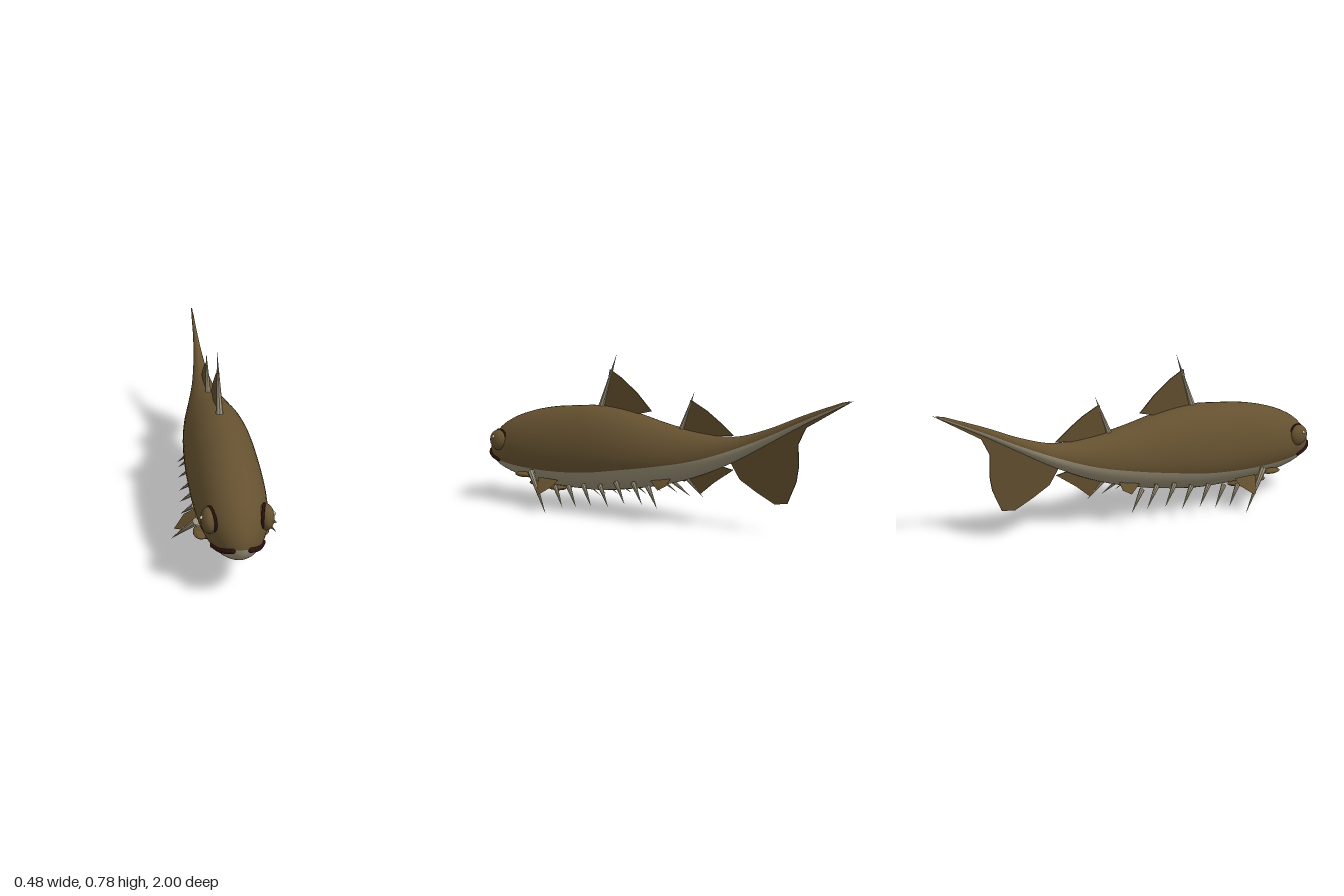
import * as THREE from 'three';

const mat = (name, color, extra = {}) => {
  const m = new THREE.MeshStandardMaterial({ color, ...extra });
  m.name = name;
  return m;
};

// Body stations: z, top y, bottom y, half width, height of the belly colour line
const STATIONS = [
  [1.0, 0.275, 0.245, 0.015, 0.262],
  [0.985, 0.315, 0.212, 0.045, 0.245],
  [0.96, 0.35, 0.19, 0.071, 0.233],
  [0.92, 0.39, 0.168, 0.098, 0.222],
  [0.86, 0.428, 0.147, 0.122, 0.213],
  [0.76, 0.468, 0.125, 0.143, 0.203],
  [0.6, 0.505, 0.104, 0.156, 0.197],
  [0.45, 0.521, 0.1, 0.16, 0.2],
  [0.29, 0.53, 0.104, 0.16, 0.213],
  [0.115, 0.51, 0.128, 0.152, 0.241],
  [-0.07, 0.467, 0.167, 0.131, 0.272],
  [-0.26, 0.435, 0.228, 0.094, 0.31],
  [-0.45, 0.43, 0.316, 0.054, 0.372],
  [-0.61, 0.477, 0.408, 0.029, 0.441],
  [-0.77, 0.546, 0.502, 0.014, 0.52],
  [-0.99, 0.63, 0.618, 0.004, 0.624],
];
const spline = new THREE.CubicInterpolant(STATIONS.map(s => -s[0]), STATIONS.flatMap(s => s.slice(1)), 4);

function section(z) {
  const [top, bottom, width, line] = spline.evaluate(-z);
  return { top, bottom, width, line, mid: bottom + 0.45 * (top - bottom) };
}

// Half width of the body at a given height and station
function surfaceX(y, z) {
  const s = section(z);
  const r = y > s.mid ? s.top - s.mid : s.mid - s.bottom;
  return s.width * Math.sqrt(Math.max(0, 1 - ((y - s.mid) / r) ** 2));
}

// Lofted body, split into back and belly groups along the colour line
function bodyGeometry() {
  const rings = 72, back = 32, belly = 16, n = back + belly;
  const pos = [], backIdx = [], bellyIdx = [];
  for (let i = 0; i <= rings; i++) {
    const z = 1 - 1.99 * (i / rings) ** 1.5;
    const s = section(z);
    const k = i === 0 || i === rings ? 0.01 : 1;
    const t = Math.asin(THREE.MathUtils.clamp((s.mid - s.line) / (s.mid - s.bottom), -0.9, 0.95));
    for (let j = 0; j < n; j++) {
      const a = j < back
        ? -t + (Math.PI + 2 * t) * j / back
        : Math.PI + t + (Math.PI - 2 * t) * (j - back) / belly;
      const r = Math.sin(a) > 0 ? s.top - s.mid : s.mid - s.bottom;
      pos.push(k * s.width * Math.cos(a), s.mid + k * r * Math.sin(a), z);
    }
  }
  for (let i = 0; i < rings; i++) {
    for (let j = 0; j < n; j++) {
      const a = i * n + j, c = i * n + (j + 1) % n, b = a + n, d = c + n;
      (j < back ? backIdx : bellyIdx).push(a, b, c, c, b, d);
    }
  }
  const g = new THREE.BufferGeometry();
  g.setAttribute('position', new THREE.Float32BufferAttribute(pos, 3));
  g.setIndex([...backIdx, ...bellyIdx]);
  g.addGroup(0, backIdx.length, 0);
  g.addGroup(backIdx.length, bellyIdx.length, 1);
  g.computeVertexNormals();
  return g;
}

// Thin upright fin on the midline from [z, y] points
function finGeometry(points) {
  const d = 0.007;
  const g = new THREE.ExtrudeGeometry(new THREE.Shape(points.map(p => new THREE.Vector2(...p))),
    { depth: d, bevelEnabled: false });
  return g.translate(0, 0, -d / 2).rotateY(-Math.PI / 2);
}

// Thin web spanning a fan of points
function webGeometry(points) {
  const g = new THREE.BufferGeometry();
  g.setAttribute('position', new THREE.Float32BufferAttribute(points.flat(), 3));
  const idx = [];
  for (let i = 1; i < points.length - 1; i++) idx.push(0, i, i + 1);
  g.setIndex(idx);
  g.computeVertexNormals();
  return g;
}

export function createModel() {
  const model = new THREE.Group();
  model.name = 'spinyFish';
  const brown = mat('brown back', 0x655130);
  const pale = mat('pale belly', 0x988e75);
  const finBrown = mat('fin brown', 0x5f4c2c, { side: THREE.DoubleSide });
  const bone = mat('spine bone', 0x9a9078, { flatShading: true });
  const dark = mat('dark maroon', 0x2a100d);
  const glint = mat('eye glint', 0xcfc8b4);

  const add = (name, geometry, material) => {
    const m = new THREE.Mesh(geometry, material);
    m.name = name;
    model.add(m);
    return m;
  };
  const ball = (name, material, center, radii) => {
    const m = add(name, new THREE.SphereGeometry(1, 24, 16), material);
    m.position.set(...center);
    m.scale.set(...radii);
    return m;
  };
  const spine = (name, from, to, radius) => {
    const a = new THREE.Vector3(...from), b = new THREE.Vector3(...to);
    const dir = b.clone().sub(a), len = dir.length();
    const m = add(name, new THREE.ConeGeometry(radius, len, 8), bone);
    m.position.copy(a).add(b).multiplyScalar(0.5);
    m.quaternion.setFromUnitVectors(new THREE.Vector3(0, 1, 0), dir.normalize());
  };

  add('body', bodyGeometry(), [brown, pale]);

  // Midline fins and their leading spines
  add('frontDorsalFin', finGeometry([[0.28, 0.51], [0.24, 0.71], [0.17, 0.67], [0.08, 0.6], [0, 0.518], [0.1, 0.495]]), finBrown);
  spine('frontDorsalSpine', [0, 0.515, 0.295], [0, 0.787, 0.2], 0.018);
  add('rearDorsalFin', finGeometry([[-0.17, 0.43], [-0.215, 0.585], [-0.3, 0.54], [-0.37, 0.49], [-0.44, 0.434], [-0.3, 0.42]]), finBrown);
  spine('rearDorsalSpine', [0, 0.44, -0.165], [0, 0.625, -0.235], 0.015);
  add('analFin', finGeometry([[-0.19, 0.22], [-0.27, 0.145], [-0.34, 0.205], [-0.44, 0.275], [-0.36, 0.29]]), finBrown);
  spine('analSpine', [0, 0.225, -0.185], [0, 0.13, -0.285], 0.013);
  add('tailFin', finGeometry([[-0.42, 0.32], [-0.475, 0.235], [-0.56, 0.185], [-0.65, 0.14], [-0.71, 0.15],
    [-0.75, 0.25], [-0.76, 0.32], [-0.755, 0.42], [-0.79, 0.495], [-1, 0.625], [-0.77, 0.52], [-0.6, 0.43]]), finBrown);

  // Paired parts
  const tipZ = [0.4, 0.32, 0.233, 0.137, 0.045, -0.05, -0.13];
  const tipY = [0.035, 0.043, 0.058, 0.065, 0.088, 0.095, 0.085];
  for (const [side, s] of [['left', 1], ['right', -1]]) {
    // Eyes with dark rims and a small glint
    const ex = 0.114;
    ball(side + 'Eye', brown, [s * ex, 0.325, 0.868], [0.034, 0.054, 0.054]);
    const rim = add(side + 'EyeRim', new THREE.TorusGeometry(0.053, 0.006, 8, 32), dark);
    rim.rotation.y = s * (Math.PI / 2 - 0.25);
    rim.position.set(s * (ex - 0.009), 0.325, 0.868);
    ball(side + 'EyeGlint', glint, [s * 0.144, 0.345, 0.88], [0.008, 0.008, 0.008]);

    // Mouth corner following the snout
    const lip = [[0.252, 0.99], [0.243, 0.972], [0.23, 0.94], [0.219, 0.885]]
      .map(([y, z]) => new THREE.Vector3(s * surfaceX(y, z), y, z));
    add(side + 'Mouth', new THREE.TubeGeometry(new THREE.CatmullRomCurve3(lip), 20, 0.011, 10), dark);
    for (const p of [lip[0], lip[3]]) ball(side + 'MouthEnd', dark, p.toArray(), [0.011, 0.011, 0.011]);

    // Throat plates
    const plates = [[0.132, 0.163, 0.69], [0.097, 0.12, 0.622], [0.044, 0.095, 0.545]];
    plates.forEach((c, i) => {
      const m = ball(side + 'ThroatPlate' + (i + 1), brown, [s * c[0], c[1], c[2]], [0.03 + i * 0.006, 0.014, 0.052]);
      m.rotation.z = s * 0.1;
    });

    // Pectoral and pelvic fins
    spine(side + 'PectoralSpine', [s * 0.142, 0.185, 0.635], [s * 0.24, 0.003, 0.465], 0.017);
    add(side + 'PectoralFin', webGeometry([[s * 0.135, 0.16, 0.59], [s * 0.19, 0.105, 0.565],
      [s * 0.23, 0.09, 0.525], [s * 0.18, 0.13, 0.47], [s * 0.13, 0.155, 0.47]]), finBrown);
    add(side + 'PelvicFin', webGeometry([[s * 0.085, 0.205, -0.04], [s * 0.125, 0.165, -0.11],
      [s * 0.12, 0.19, -0.155], [s * 0.075, 0.215, -0.15]]), finBrown);

    // Row of belly spines
    tipZ.forEach((z, i) => {
      const x = 0.19 - i * 0.005, y = tipY[i];
      spine(side + 'BellySpine' + (i + 1), [s * (x - 0.055), y + 0.088, z + 0.085], [s * x, y, z], 0.013);
    });
  }
  return model;
}
